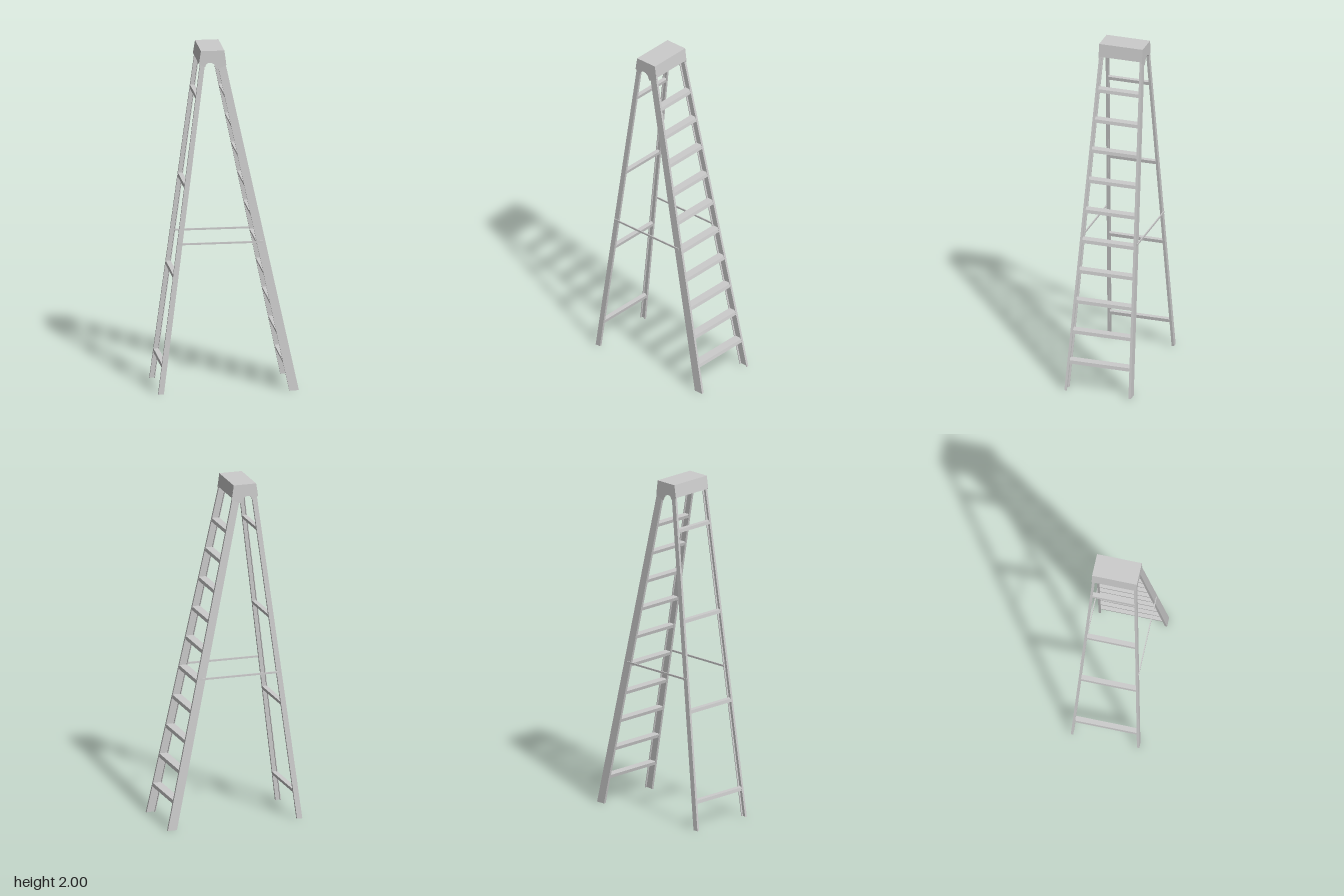
import * as THREE from 'three';

const material = new THREE.MeshStandardMaterial({ color: 0xcccccc, side: THREE.DoubleSide });

// Rail lines as functions of height
const TOP = 1.98;
const railZ = (y) => 0.2 - 0.0368 * y;
const front = { outer: (y) => 0.405 - 0.215 * y, inner: (y) => 0.35 - 0.21 * y };
const rear = { outer: (y) => -0.405 + 0.13 * y, inner: (y) => -0.373 + 0.128 * y };

function add(parent, geometry, name) {
  const mesh = new THREE.Mesh(geometry, material);
  mesh.name = name;
  parent.add(mesh);
  return mesh;
}

// Box whose x and z extents [a, b] are functions of height
function taperedBar(y0, y1, xRange, zRange) {
  const g = new THREE.BoxGeometry(1, 1, 1);
  const p = g.attributes.position;
  const pick = (range, y, side) => (side > 0 ? Math.max(...range(y)) : Math.min(...range(y)));
  for (let i = 0; i < p.count; i++) {
    const y = p.getY(i) > 0 ? y1 : y0;
    p.setXYZ(i, pick(xRange, y, p.getX(i)), y, pick(zRange, y, p.getZ(i)));
  }
  g.computeVertexNormals();
  return g;
}

// C-channel rail: web on the outside, flanges turned inward
function makeRail(line, side, name) {
  const rail = new THREE.Group();
  rail.name = name;
  const t = 0.004;
  const dir = Math.sign(line.outer(0));
  const web = (y) => [side * railZ(y), side * (railZ(y) - t)];
  const lip = (y) => [side * railZ(y), side * (railZ(y) - 0.014)];
  add(rail, taperedBar(0, TOP, (y) => [line.inner(y), line.outer(y)], web), 'web');
  add(rail, taperedBar(0, TOP, (y) => [line.outer(y), line.outer(y) - dir * t], lip), 'outerFlange');
  add(rail, taperedBar(0, TOP, (y) => [line.inner(y), line.inner(y) + dir * t], lip), 'innerFlange');
  return rail;
}

// Tread with a lip along each long edge, open underneath
function makeTread(line, yTop, name) {
  const tread = new THREE.Group();
  tread.name = name;
  const h = 0.019, t = 0.004, dir = Math.sign(line.outer(0));
  const z = (y) => [-(railZ(y) - 0.003), railZ(y) - 0.003];
  const a = (y) => line.outer(y) - dir * 0.001;
  const b = (y) => line.inner(y) + dir * 0.001;
  add(tread, taperedBar(yTop - t, yTop, (y) => [a(y), b(y)], z), 'plate');
  add(tread, taperedBar(yTop - h, yTop - t, (y) => [a(y), a(y) - dir * t], z), 'outerLip');
  add(tread, taperedBar(yTop - h, yTop - t, (y) => [b(y), b(y) + dir * t], z), 'innerLip');
  return tread;
}

// Hollow cap with flared end walls and arched side panels
function makeCap() {
  const cap = new THREE.Group();
  cap.name = 'topCap';
  const zr = () => [-0.128, 0.128];
  const x0 = (y) => -0.15 - (2 - y) * 0.16;
  const x1 = (y) => -0.015 + (2 - y) * 0.14;
  add(cap, taperedBar(1.992, 2, (y) => [x0(y), x1(y)], zr), 'topPlate');
  add(cap, taperedBar(1.925, 1.992, (y) => [x0(y), x0(y) + 0.005], zr), 'rearWall');
  add(cap, taperedBar(1.925, 1.992, (y) => [x1(y) - 0.005, x1(y)], zr), 'frontWall');

  const s = new THREE.Shape();
  s.moveTo(x0(2), 2);
  s.lineTo(x0(1.925), 1.925);
  s.lineTo(-0.126, 1.905);
  s.quadraticCurveTo(-0.122, 1.93, -0.1, 1.93);
  s.quadraticCurveTo(-0.07, 1.93, -0.058, 1.888);
  s.lineTo(x1(1.92), 1.915);
  s.lineTo(x1(2), 2);
  s.closePath();
  for (const side of [1, -1]) {
    const g = new THREE.ExtrudeGeometry(s, { depth: 0.005, bevelEnabled: false, curveSegments: 8 });
    g.translate(0, 0, side > 0 ? 0.126 : -0.131);
    add(cap, g, side > 0 ? 'leftPanel' : 'rightPanel');
  }
  return cap;
}

export function createModel() {
  const ladder = new THREE.Group();
  ladder.name = 'stepladder';

  // Rails and spreader braces on both sides
  for (const side of [1, -1]) {
    ladder.add(makeRail(front, side, 'climbingRail'));
    ladder.add(makeRail(rear, side, 'supportRail'));
    const brace = add(ladder, new THREE.BoxGeometry(0.488, 0.011, 0.006), 'spreaderBrace');
    brace.position.set(-0.043, 0.875, side * 0.169);
  }

  // Ten steps in front, a rear rung level with every third one
  for (let i = 0; i < 10; i++) {
    const y = 0.174 + i * 0.1737;
    ladder.add(makeTread(front, y, 'step'));
    if (i % 3 === 0) ladder.add(makeTread(rear, y, 'rearRung'));
  }

  ladder.add(makeCap());
  return ladder;
}
